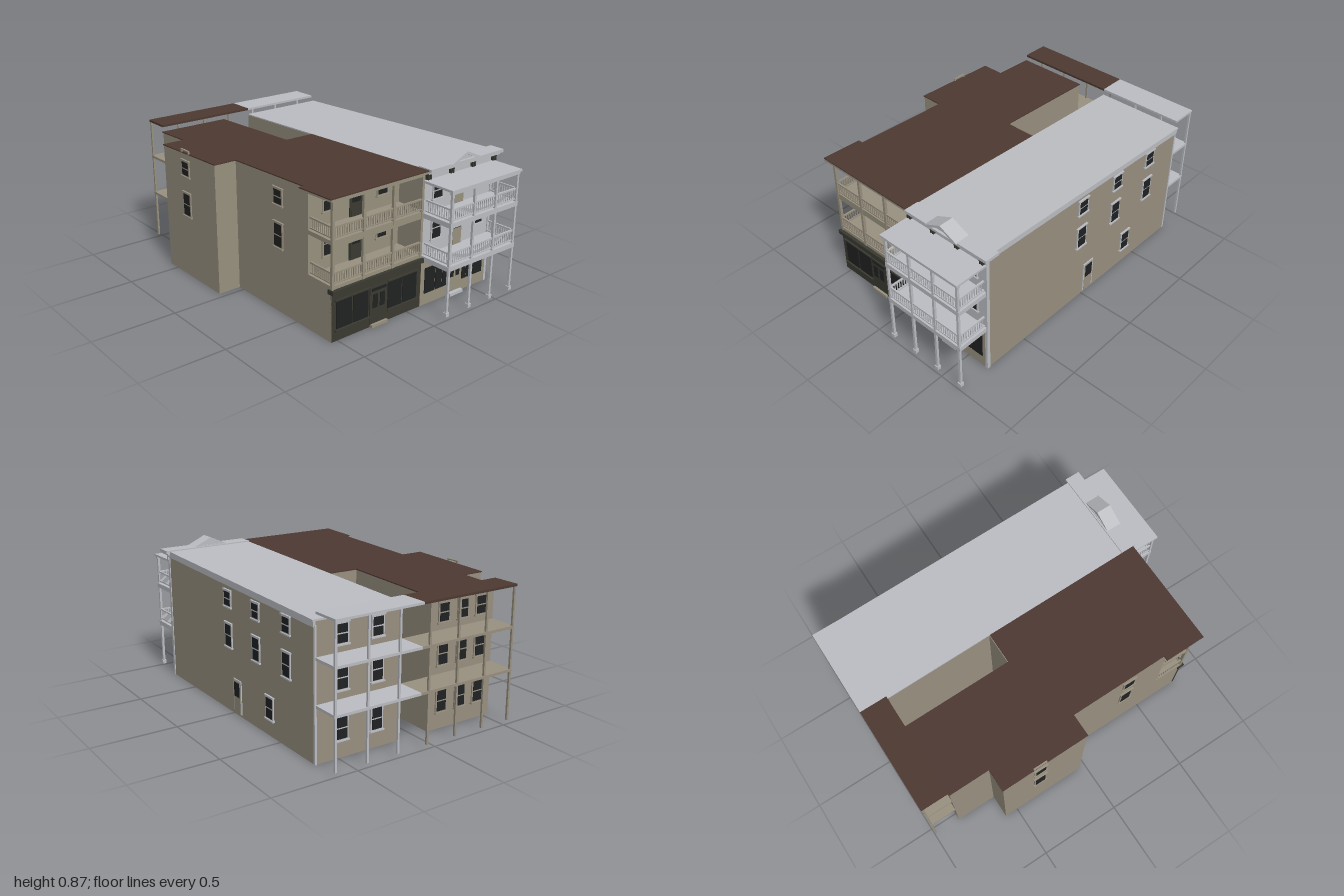
import * as THREE from 'three';
import { mergeGeometries } from 'three/addons/utils/BufferGeometryUtils.js';

const mat = (name, color) => {
  const m = new THREE.MeshStandardMaterial({ color, side: THREE.DoubleSide });
  m.name = name;
  return m;
};

export function createModel() {
  const tan = mat('tanWall', 0x999180), trim = mat('lightTrim', 0xbcbec3), dark = mat('darkShopfront', 0x3a3a32);
  const glass = mat('darkGlass', 0x202122), brown = mat('brownRoof', 0x4d3932);
  const root = new THREE.Group();
  root.name = 'twinBuildings';
  const roofY = z => 0.785 + 0.03 * z;

  const add = (name, geo, m, parent = root) => {
    const mesh = new THREE.Mesh(geo, m);
    mesh.name = name;
    parent.add(mesh);
    return mesh;
  };
  // box geometry from its limits
  const boxGeo = (x0, x1, y0, y1, z0, z1) =>
    new THREE.BoxGeometry(x1 - x0, y1 - y0, z1 - z0).translate((x0 + x1) / 2, (y0 + y1) / 2, (z0 + z1) / 2);
  const box = (name, m, ...b) => add(name, boxGeo(...b), m);
  const merged = (name, geos, m) => add(name, mergeGeometries(geos), m);

  // upright walls along a line of [x, z] points
  const walls = (name, pts, y0, top, m) => {
    const v = [];
    for (let i = 0; i + 1 < pts.length; i++) {
      const [ax, az] = pts[i], [bx, bz] = pts[i + 1];
      const A = [ax, y0, az], B = [bx, y0, bz], C = [bx, top(bz), bz], D = [ax, top(az), az];
      v.push(...A, ...B, ...C, ...A, ...C, ...D);
    }
    const g = new THREE.BufferGeometry();
    g.setAttribute('position', new THREE.Float32BufferAttribute(v, 3));
    g.computeVertexNormals();
    return add(name, g, m);
  };
  // sloping slab over an [x, z] outline; its top lies "drop" below the roof line
  const slab = (name, pts, drop, thick, m) => {
    const s = new THREE.Shape(pts.map(([x, z]) => new THREE.Vector2(x, -z)));
    const g = new THREE.ExtrudeGeometry(s, { depth: thick, bevelEnabled: false }).rotateX(-Math.PI / 2);
    const p = g.attributes.position;
    for (let i = 0; i < p.count; i++) p.setY(i, p.getY(i) + roofY(p.getZ(i)) - thick - drop);
    g.computeVertexNormals();
    return add(name, g, m);
  };
  const rect = (x0, x1, z0, z1) => [[x0, z0], [x1, z0], [x1, z1], [x0, z1]];

  // wall plate parts face local +z, then turn and move onto the wall
  const facing = (name, x, y, z, turn) => {
    const g = new THREE.Group();
    g.name = name;
    g.position.set(x, y, z);
    g.rotation.y = turn;
    root.add(g);
    return g;
  };
  const sashWindow = (x, y0, y1, z, turn, frame, w = 0.08, pane = glass) => {
    const g = facing('window', x, (y0 + y1) / 2, z, turn), h = y1 - y0;
    add('windowFrame', boxGeo(-w / 2, w / 2, -h / 2, h / 2, 0, 0.007), frame, g);
    add('windowSill', boxGeo(-w / 2 - 0.005, w / 2 + 0.005, -h / 2 - 0.008, -h / 2, 0, 0.013), frame, g);
    add('windowHead', boxGeo(-w / 2 - 0.005, w / 2 + 0.005, h / 2, h / 2 + 0.008, 0, 0.011), frame, g);
    const gw = w / 2 - 0.009;
    add('upperPane', boxGeo(-gw, gw, 0.004, h / 2 - 0.006, 0.002, 0.009), pane, g);
    add('lowerPane', boxGeo(-gw, gw, -h / 2 + 0.006, -0.004, 0.002, 0.009), glass, g);
  };
  const door = (x, y0, y1, z, turn, frame, leaf, paneFrom) => {
    const g = facing('door', x, y0, z, turn), h = y1 - y0;
    add('doorFrame', boxGeo(-0.043, 0.043, 0, h, 0, 0.006), frame, g);
    add('doorLeaf', boxGeo(-0.034, 0.034, 0, h - 0.008, 0.001, 0.008), leaf, g);
    add('doorPane', boxGeo(-0.028, 0.028, paneFrom - y0, h - 0.016, 0.002, 0.01), glass, g);
  };
  const railing = (x0, z0, x1, z1, y0, y1, m) => {
    const len = Math.hypot(x1 - x0, z1 - z0), n = Math.round(len / 0.016), geos = [];
    const bar = (y, h) => new THREE.BoxGeometry(len, h, 0.01).translate(0, y, 0);
    geos.push(bar(y1 - 0.004, 0.009), bar(y0 + 0.006, 0.007));
    for (let i = 1; i < n; i++)
      geos.push(new THREE.BoxGeometry(0.005, y1 - y0, 0.005).translate(-len / 2 + len * i / n, (y0 + y1) / 2, 0));
    const r = merged('railing', geos, m);
    r.position.set((x0 + x1) / 2, 0, (z0 + z1) / 2);
    r.rotation.y = Math.atan2(z0 - z1, x1 - x0);
  };

  // ---- left building: walls, light well and side bay ----
  const under = z => roofY(z) - 0.006;
  walls('leftWalls', [[-0.54, 0.6], [-0.54, -0.04], [-0.68, -0.04], [-0.68, -0.58], [-0.54, -0.58],
    [-0.54, -0.83], [-0.09, -0.83], [-0.09, -0.17], [0.1, -0.17]], 0, under, tan);
  walls('leftUpperFront', [[-0.54, 0.6], [0.1, 0.6]], 0.3, under, tan);
  walls('shopSideWall', [[-0.54, 0.6], [-0.54, 0.79]], 0, () => 0.3, tan);
  slab('leftRoof', [[-0.575, 0.82], [-0.575, 0.57], [-0.545, 0.57], [-0.545, -0.035], [-0.683, -0.035], [-0.683, -0.585],
    [-0.545, -0.585], [-0.545, -0.835], [-0.09, -0.835], [-0.09, -0.165], [0.1, -0.165], [0.1, 0.82]], 0, 0.006, brown);
  slab('leftCornice', rect(-0.572, 0.1, 0.573, 0.82), 0.006, 0.012, tan);
  box('cornicebeam', tan, -0.54, 0.1, 0.772, 0.792, 0.775, 0.795);
  merged('roofHatchFrame', [boxGeo(-0.685, -0.675, 0.77, 0.79, -0.31, -0.3), boxGeo(-0.685, -0.675, 0.77, 0.79, -0.385, -0.375),
    boxGeo(-0.685, -0.675, 0.785, 0.792, -0.385, -0.3)], tan);

  // ---- left building: shopfront ----
  box('shopfrontWall', dark, -0.54, 0.1, 0, 0.28, 0.775, 0.79);
  box('shopfrontCornice', dark, -0.547, 0.1, 0.275, 0.3, 0.765, 0.81);
  box('shopDoor', dark, -0.28, -0.155, 0.015, 0.235, 0.785, 0.796);
  box('shopStep', tan, -0.275, -0.16, 0, 0.018, 0.785, 0.81);
  for (const [a, b] of [[-0.51, -0.405], [-0.396, -0.29], [-0.15, -0.048], [-0.039, 0.065]])
    box('shopGlass', glass, a, b, 0.07, 0.23, 0.785, 0.794);
  for (const [a, b] of [[-0.52, -0.283], [-0.153, 0.075]]) {
    box('shopSill', dark, a, b, 0.058, 0.068, 0.785, 0.803);
    box('shopHead', dark, a, b, 0.232, 0.24, 0.785, 0.8);
  }
  for (const x of [-0.244, -0.193]) box('shopDoorPane', glass, x - 0.017, x + 0.017, 0.11, 0.19, 0.79, 0.799);
  box('shopTransom', glass, -0.268, -0.167, 0.21, 0.226, 0.79, 0.799);

  // ---- left building: recessed balconies ----
  const leftPosts = [-0.532, -0.325, -0.118, 0.09];
  for (const [floor, wy0, wy1, dTop, pane] of [[0.32, 0.395, 0.535, 0.5, 0.41], [0.57, 0.645, 0.77, 0.75, 0.65]]) {
    box('balconyDeck', tan, -0.54, 0.1, floor - 0.024, floor, 0.6, 0.79);
    railing(-0.532, 0.785, 0.09, 0.785, floor + 0.008, floor + 0.075, tan);
    railing(-0.532, 0.61, -0.532, 0.785, floor + 0.008, floor + 0.075, tan);
    sashWindow(-0.41, wy0, wy1, 0.6, 0, tan);
    sashWindow(-0.03, wy0, wy1, 0.6, 0, tan, 0.08, dark);
    door(-0.22, floor, dTop, 0.6, 0, dark, dark, pane);
  }
  merged('balconyPosts', leftPosts.map(x => boxGeo(x - 0.008, x + 0.008, 0.3, 0.785, 0.777, 0.793)), tan);
  box('balconyLintel', tan, -0.54, 0.1, 0.53, 0.547, 0.78, 0.79);

  // side and rear windows of the left building
  for (const [y0, y1] of [[0.39, 0.53], [0.635, 0.725]]) {
    sashWindow(-0.68, y0, y1, -0.34, -Math.PI / 2, tan);
    sashWindow(-0.54, y0, y1, 0.35, -Math.PI / 2, tan);
  }
  const rearRows = [[0.1, 0.23], [0.37, 0.5], [0.61, 0.72]];
  for (const [y0, y1] of rearRows) {
    for (const x of [-0.445, -0.315, -0.18]) sashWindow(x, y0, y1, -0.83, Math.PI, tan);
    for (const x of [0.26, 0.48]) sashWindow(x, y0, y1, -0.83, Math.PI, trim);
  }

  // ---- right building: walls and roof ----
  walls('rightWalls', [[0.64, 0.785], [0.64, -0.83], [0.1, -0.83], [0.1, 0.785]], 0, under, tan);
  slab('rightRoof', rect(0.1, 0.655, -0.835, 0.8), -0.001, 0.01, trim);
  slab('sideFrieze', rect(0.635, 0.65, -0.832, 0.79), 0.009, 0.03, trim);
  box('frontUpperWall', trim, 0.1, 0.64, 0.27, 0.8, 0.775, 0.79);
  box('frontCornerBoard', trim, 0.628, 0.645, 0, 0.77, 0.775, 0.795);
  box('rearCornerBoard', trim, 0.632, 0.644, 0, 0.73, -0.834, -0.822);
  for (const z of [0.035, -0.27, -0.575]) {
    sashWindow(0.64, 0.39, 0.525, z, Math.PI / 2, trim);
    sashWindow(0.64, 0.625, 0.715, z, Math.PI / 2, trim);
  }
  sashWindow(0.64, 0.1, 0.225, -0.4, Math.PI / 2, trim);
  door(0.64, 0.015, 0.215, -0.05, Math.PI / 2, trim, tan, 0.115);

  // ---- right building: shopfront ----
  box('rightShopWall', tan, 0.1, 0.64, 0, 0.275, 0.775, 0.791);
  for (const [a, b] of [[0.13, 0.21], [0.216, 0.268], [0.274, 0.305], [0.435, 0.466], [0.472, 0.524], [0.53, 0.605]])
    box('rightShopGlass', glass, a, b, 0.07, 0.225, 0.785, 0.795);
  box('rightShopDoor', tan, 0.318, 0.424, 0.015, 0.235, 0.785, 0.797);
  for (const x of [0.347, 0.393]) box('rightShopDoorPane', glass, x - 0.014, x + 0.014, 0.11, 0.19, 0.79, 0.8);
  box('rightShopTransom', glass, 0.326, 0.416, 0.208, 0.225, 0.79, 0.8);
  box('rightShopStep', trim, 0.318, 0.424, 0, 0.018, 0.785, 0.82);

  // ---- right building: front porch ----
  const porchPosts = [0.11, 0.284, 0.456, 0.628];
  for (const [floor, wy0, wy1, dTop, pane] of [[0.31, 0.39, 0.52, 0.515, 0.41], [0.56, 0.625, 0.72, 0.72, 0.65]]) {
    box('porchDeck', trim, 0.1, 0.64, floor - 0.028, floor, 0.79, 0.99);
    railing(0.11, 0.98, 0.628, 0.98, floor + 0.008, floor + 0.078, trim);
    for (const x of [0.11, 0.628]) railing(x, 0.8, x, 0.98, floor + 0.008, floor + 0.078, trim);
    for (const x of [0.2, 0.54]) sashWindow(x, wy0, wy1, 0.79, 0, trim);
    door(0.37, floor, dTop, 0.79, 0, trim, tan, pane);
  }
  merged('porchPosts', porchPosts.flatMap(x => [boxGeo(x - 0.007, x + 0.007, 0.02, 0.735, 0.975, 0.989),
    boxGeo(x - 0.012, x + 0.012, 0.015, 0.038, 0.97, 0.994)]), trim);
  box('porchRoof', trim, 0.09, 0.645, 0.735, 0.748, 0.79, 1);
  box('porchRoofBeam', trim, 0.1, 0.64, 0.718, 0.735, 0.972, 0.99);

  // ---- right building: cornice, brackets and pediment ----
  box('corniceFrieze', trim, 0.1, 0.65, 0.75, 0.8, 0.785, 0.8);
  box('corniceBed', trim, 0.1, 0.665, 0.785, 0.8, 0.75, 0.82);
  box('corniceTop', trim, 0.1, 0.678, 0.797, 0.815, 0.74, 0.833);
  merged('corniceBrackets', porchPosts.flatMap(x => [-0.008, 0.008].map(d =>
    boxGeo(x + d - 0.005, x + d + 0.005, 0.755, 0.787, 0.795, 0.818))), dark);
  const tri = (w, y0, y1) => new THREE.Shape([[-w, y0], [w, y0], [0, y1]].map(p => new THREE.Vector2(0.37 + p[0], p[1])));
  const pediment = tri(0.115, 0.813, 0.866);
  pediment.holes.push(tri(0.068, 0.82, 0.85));
  add('pedimentFrame', new THREE.ExtrudeGeometry(pediment, { depth: 0.09, bevelEnabled: false }).translate(0, 0, 0.75), trim);
  add('pedimentPanel', new THREE.ExtrudeGeometry(tri(0.075, 0.817, 0.853), { depth: 0.07, bevelEnabled: false }).translate(0, 0, 0.755), trim);

  // ---- rear gallery across both buildings ----
  for (const [x0, x1, m, roof] of [[-0.54, 0.1, tan, brown], [0.1, 0.637, trim, trim]]) {
    for (const y of [0.305, 0.552]) box('galleryDeck', m, x0, x1, y, y + 0.015, -0.995, -0.83);
    box('galleryRoof', roof, x0, x1, 0.787, 0.8, -1, -0.835);
  }
  for (let i = 0; i < 7; i++) {
    const x = -0.532 + i * 0.1935;
    box('galleryPost', x < 0.1 ? tan : trim, x - 0.006, x + 0.006, 0.02, 0.788, -0.995, -0.983);
  }
  return root;
}
